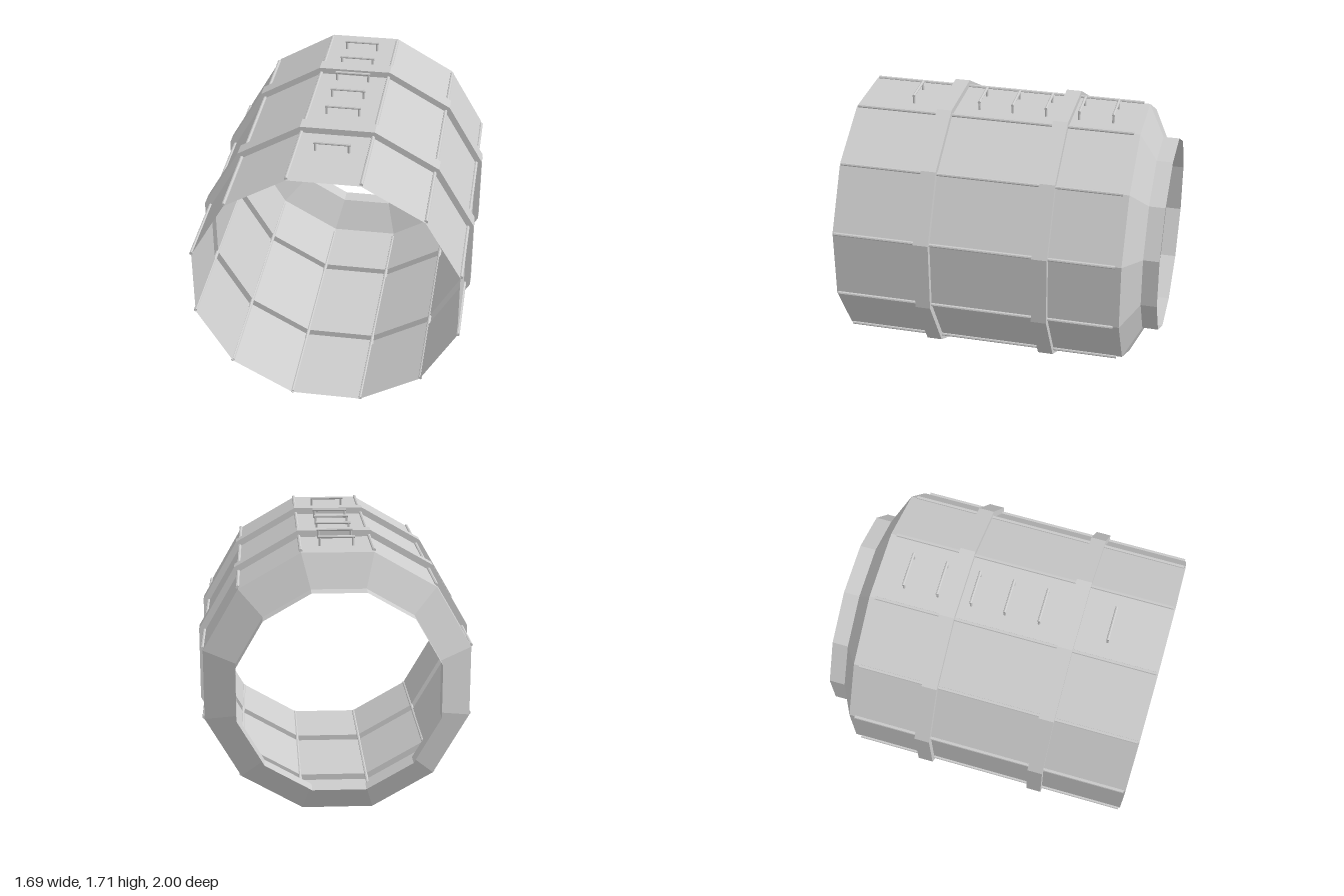
import * as THREE from 'three';

const SIDES = 12;
const CENTRE_Y = 0.845;
const STEP = (Math.PI * 2) / SIDES;
const APOTHEM = Math.cos(STEP / 2);

export function createModel() {
  const group = new THREE.Group();
  const metal = new THREE.MeshStandardMaterial({ color: 0xcccccc, flatShading: true, side: THREE.DoubleSide });
  metal.name = 'greyMetal';

  const add = (name, geometry, x, y, z, parent = group) => {
    const mesh = new THREE.Mesh(geometry, metal);
    mesh.name = name;
    mesh.position.set(x, y, z);
    parent.add(mesh);
    return mesh;
  };

  // Open twelve-sided shell from [flat radius, z] profile points
  const shell = (name, profile) => {
    const points = profile.map(([r, z]) => new THREE.Vector2(r / APOTHEM, z));
    const geometry = new THREE.LatheGeometry(points, SIDES, STEP / 2);
    geometry.rotateX(Math.PI / 2);
    add(name, geometry, 0, CENTRE_Y, 0);
  };

  // Thin hull with two stepped-out bands and a tapered neck at the back
  const body = 0.806, band = 0.845, neck = 0.61;
  shell('neck', [[neck, -1], [neck, -0.9]]);
  shell('taper', [[neck, -0.9], [body, -0.797]]);
  shell('rearHull', [[body, -0.797], [body, -0.354]]);
  shell('rearBand', [[body, -0.354], [band, -0.354], [band, -0.259], [body, -0.259]]);
  shell('middleHull', [[body, -0.259], [body, 0.381]]);
  shell('frontBand', [[body, 0.381], [band, 0.381], [band, 0.475], [body, 0.475]]);
  shell('frontHull', [[body, 0.475], [body, 1]]);

  // Rods along every corner of the hull
  const rod = new THREE.CylinderGeometry(0.011, 0.011, 1.75, 8).rotateX(Math.PI / 2);
  for (let i = 0; i < SIDES; i++) {
    const a = (i + 0.5) * STEP;
    add('cornerRod', rod, 0.838 * Math.sin(a), CENTRE_Y + 0.838 * Math.cos(a), 0.115);
  }

  // Ladder rungs along the top
  const bar = new THREE.CylinderGeometry(0.009, 0.009, 0.22, 8).rotateZ(Math.PI / 2);
  const leg = new THREE.CylinderGeometry(0.008, 0.008, 0.056, 8);
  for (const z of [0.66, 0.235, 0.022, -0.19, -0.4, -0.613]) {
    const rung = new THREE.Group();
    rung.name = 'ladderRung';
    rung.position.set(-0.002, 0, z);
    add('rungBar', bar, 0, 1.705, 0, rung);
    for (const s of [-1, 1]) add('rungLeg', leg, s * 0.1, 1.675, 0, rung);
    group.add(rung);
  }
  return group;
}
